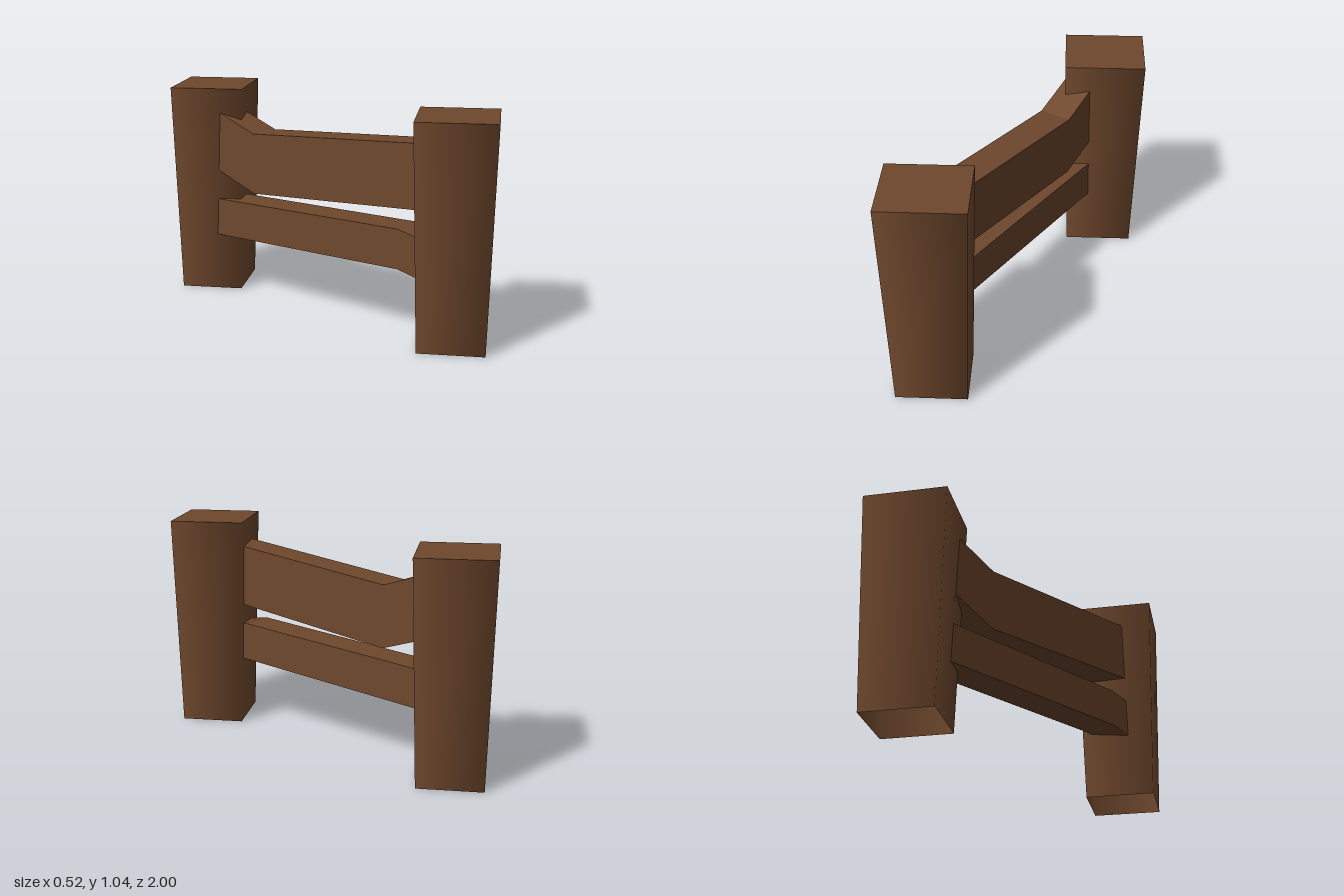
import * as THREE from 'three';

export function createModel() {
  const group = new THREE.Group();
  group.name = 'fence';
  const wood = new THREE.MeshStandardMaterial({ color: 0x6f482d, side: THREE.DoubleSide });
  wood.name = 'brown wood';

  const height = 1.045, halfWidth = 0.196, halfDepth = 0.181, taper = 0.85;

  // Tapered, turned square post: smooth-shaded sides, flat top, open underside
  function addPost(name, z) {
    const post = new THREE.Group();
    post.name = name;
    const r = Math.SQRT2;
    const sides = new THREE.CylinderGeometry(r, r * taper, height, 4, 1, true, Math.PI / 4);
    sides.scale(halfWidth, 1, halfDepth);
    sides.translate(0, height / 2, 0);
    const sideMesh = new THREE.Mesh(sides, wood);
    sideMesh.name = 'postSides';
    const top = new THREE.PlaneGeometry(halfWidth * 2, halfDepth * 2);
    top.rotateX(-Math.PI / 2);
    top.translate(0, height, 0);
    const topMesh = new THREE.Mesh(top, wood);
    topMesh.name = 'postTop';
    post.add(sideMesh, topMesh);
    post.rotation.y = THREE.MathUtils.degToRad(31);
    post.position.z = z;
    group.add(post);
  }
  addPost('frontPost', 0.742);
  addPost('backPost', -0.742);

  // Bent rail: [z, y] points along its top edge, with a constant height
  function addRail(name, topEdge, railHeight) {
    const bottomEdge = topEdge.map(([z, y]) => [z, y - railHeight]).reverse();
    const shape = new THREE.Shape([...topEdge, ...bottomEdge].map(([z, y]) => new THREE.Vector2(z, y)));
    const geometry = new THREE.ExtrudeGeometry(shape, { depth: 0.16, bevelEnabled: false });
    geometry.rotateY(-Math.PI / 2);
    geometry.translate(0.03, 0, 0);
    const rail = new THREE.Mesh(geometry, wood);
    rail.name = name;
    group.add(rail);
  }
  addRail('upperRail', [[0.7, 0.932], [-0.36, 0.845], [-0.66, 0.95]], 0.3);
  addRail('lowerRail', [[0.7, 0.485], [0.52, 0.521], [-0.7, 0.476]], 0.188);

  return group;
}
